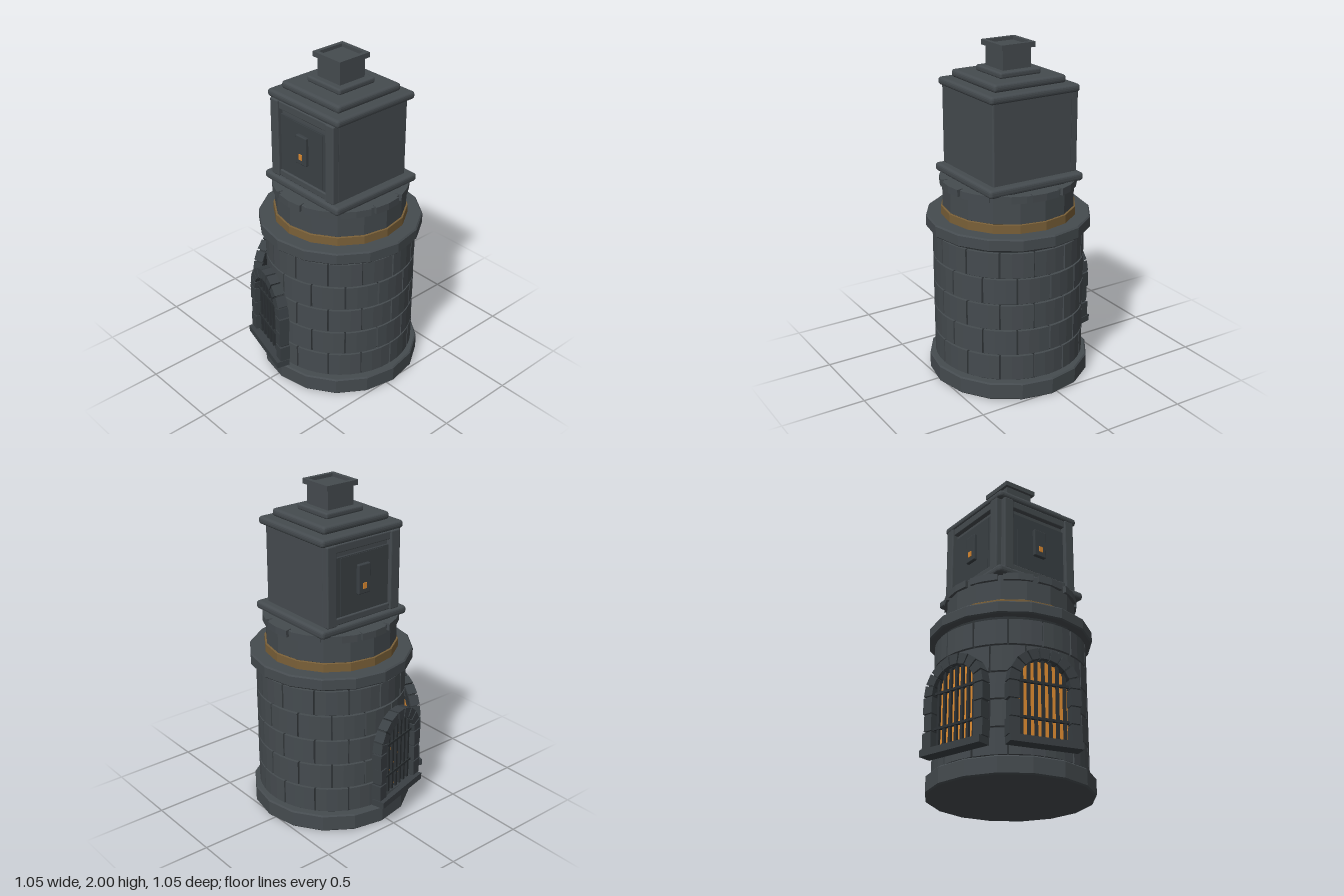
import * as THREE from 'three';
import { RoundedBoxGeometry } from 'three/addons/geometries/RoundedBoxGeometry.js';

const mat = (name, color, side = THREE.FrontSide) => {
  const m = new THREE.MeshStandardMaterial({ color, side, flatShading: true });
  m.name = name;
  return m;
};

export function createModel() {
  const stone = mat('slate stone', 0x454b4f);
  const darkStone = mat('dark stone', 0x3a4044);
  const mortar = mat('mortar', 0x2f3437);
  const iron = mat('iron', 0x2c3134);
  const brass = mat('brass', 0x7a6038);
  const glow = mat('ember glow', 0xdc8a30);

  const model = new THREE.Group();
  model.name = 'furnaceTower';
  const tower = new THREE.Group();
  tower.name = 'tower';
  tower.position.set(0.04, 0, -0.04);
  model.add(tower);

  const add = (parent, name, geo, material, x = 0, y = 0, z = 0) => {
    const m = new THREE.Mesh(geo, material);
    m.name = name;
    m.position.set(x, y, z);
    parent.add(m);
    return m;
  };
  const box = (parent, name, w, h, d, x, y, z, material, r = 0) =>
    add(parent, name, r ? new RoundedBoxGeometry(w, h, d, 2, r) : new THREE.BoxGeometry(w, h, d), material, x, y, z);

  // Sixteen-sided drum with chamfered rims
  const drum = (name, r, y0, y1, c, material) => {
    const pts = [[0, y0], [r - c, y0], [r, y0 + c], [r, y1 - c], [r - c, y1], [0, y1]]
      .map(([x, y]) => new THREE.Vector2(x, y));
    return add(tower, name, new THREE.LatheGeometry(pts, 16), material);
  };

  // Curved block between two radii, spanning angles a0..a1
  const arcBlock = (r0, r1, a0, a1, h, steps = 3) => {
    const pts = [];
    const p = (r, a) => pts.push(new THREE.Vector2(r * Math.sin(a), -r * Math.cos(a)));
    for (let i = 0; i <= steps; i++) p(r1, a0 + (a1 - a0) * i / steps);
    for (let i = steps; i >= 0; i--) p(r0, a0 + (a1 - a0) * i / steps);
    return new THREE.ExtrudeGeometry(new THREE.Shape(pts), { depth: h, bevelEnabled: false }).rotateX(-Math.PI / 2);
  };

  // Round tower body
  drum('base', 0.482, 0, 0.105, 0.008, stone);
  add(tower, 'mortarCore', new THREE.CylinderGeometry(0.428, 0.428, 0.84, 28), mortar, 0, 0.515, 0);
  drum('ledge', 0.485, 0.925, 1.0, 0.008, stone);
  drum('brassBand', 0.396, 0.995, 1.052, 0.002, brass);
  drum('collar', 0.386, 1.05, 1.214, 0.003, stone);

  // Staggered brick courses
  const perRow = 14, step = Math.PI * 2 / perRow, gap = 0.012;
  for (let row = 0; row < 5; row++) {
    for (let i = 0; i < perRow; i++) {
      const a = (i + (row % 2 ? 0 : 0.5)) * step;
      add(tower, 'brick', arcBlock(0.415, 0.446, a + gap, a + step - gap, 0.148), stone, 0, 0.118 + row * 0.159, 0);
    }
  }

  // Blocks around the collar rim
  for (let i = 0; i < 12; i++) {
    const a = i * Math.PI / 6;
    add(tower, 'rimBlock', arcBlock(0.36, 0.4, a - 0.22, a + 0.22, 0.042, 2), stone, 0, 1.177, 0);
  }

  // Arched grate, built facing +z and turned into place
  const archPath = (r, y0, yc) => {
    const s = new THREE.Shape();
    s.moveTo(-r, y0);
    s.lineTo(r, y0);
    s.lineTo(r, yc);
    s.absarc(0, yc, r, 0, Math.PI, false);
    s.closePath();
    return s;
  };
  const grate = (azimuth) => {
    const g = new THREE.Group();
    g.name = 'archedGrate';
    g.rotation.y = azimuth;
    tower.add(g);
    const spring = 0.5, bottom = 0.19, rIn = 0.15, rOut = 0.21;
    add(g, 'emberGlow', new THREE.ExtrudeGeometry(archPath(0.156, bottom, spring), { depth: 0.007, bevelEnabled: false, curveSegments: 10 }), glow, 0, 0, 0.446);
    const ring = archPath(0.198, bottom, spring);
    ring.holes.push(archPath(0.155, bottom + 0.003, spring));
    add(g, 'archBacking', new THREE.ExtrudeGeometry(ring, { depth: 0.05, bevelEnabled: false, curveSegments: 10 }), mortar, 0, 0, 0.445);
    box(g, 'sill', 0.42, 0.04, 0.08, 0, 0.173, 0.488, darkStone);
    // Wedge stones of the arch
    const n = 9;
    for (let i = 0; i < n; i++) {
      const a0 = Math.PI * i / n + 0.025, a1 = Math.PI * (i + 1) / n - 0.025;
      const pts = [[rIn, a0], [rOut, a0], [rOut, a1], [rIn, a1]]
        .map(([r, a]) => new THREE.Vector2(r * Math.cos(a), spring + r * Math.sin(a)));
      add(g, 'archStone', new THREE.ExtrudeGeometry(new THREE.Shape(pts), { depth: 0.062, bevelEnabled: false }), darkStone, 0, 0, 0.445);
    }
    // Jamb stones
    for (const s of [-1, 1]) {
      for (let i = 0; i < 3; i++) {
        const w = i % 2 ? 0.052 : 0.062;
        box(g, 'jambStone', w, 0.094, 0.062, s * (rIn + w / 2), 0.245 + i * 0.102, 0.476, darkStone);
      }
    }
    // Iron bars
    for (let i = -3; i <= 3; i++) {
      const x = i * 0.042;
      const top = spring + Math.sqrt(rIn * rIn - x * x) + 0.006;
      box(g, 'bar', 0.016, top - bottom, 0.016, x, (top + bottom) / 2, 0.472, iron);
    }
    for (const y of [0.31, 0.515]) box(g, 'crossBar', 0.304, 0.014, 0.018, 0, y, 0.476, iron);
  };
  grate(-Math.PI / 12);
  grate(-Math.PI * 5 / 12);

  // Square housing with stacked rounded slabs
  box(tower, 'housingSill', 0.625, 0.05, 0.625, 0, 1.236, 0, stone, 0.018);
  box(tower, 'housing', 0.525, 0.49, 0.525, 0, 1.495, 0, stone, 0.01);
  box(tower, 'eave', 0.585, 0.046, 0.585, 0, 1.752, 0, stone, 0.018);
  box(tower, 'roofStep', 0.472, 0.046, 0.472, 0, 1.8, 0, stone, 0.018);
  box(tower, 'chimneyFoot', 0.268, 0.036, 0.268, 0, 1.838, 0, stone, 0.012);
  box(tower, 'chimney', 0.184, 0.13, 0.184, 0, 1.915, 0, stone);
  for (const s of [-1, 1]) {
    box(tower, 'chimneyRim', 0.22, 0.03, 0.024, 0, 1.985, s * 0.098, stone);
    box(tower, 'chimneyRim', 0.024, 0.03, 0.172, s * 0.098, 1.985, 0, stone);
  }

  // Framed door panel with latch plate, on the front and on the -x side
  for (const turn of [0, -Math.PI / 2]) {
    const p = new THREE.Group();
    p.name = 'doorPanel';
    p.rotation.y = turn;
    tower.add(p);
    for (const s of [-1, 1]) box(p, 'framePost', 0.066, 0.475, 0.05, s * 0.229, 1.495, 0.273, stone, 0.008);
    box(p, 'topRail', 0.392, 0.048, 0.04, 0, 1.706, 0.27, stone, 0.006);
    box(p, 'bottomRail', 0.392, 0.04, 0.04, 0, 1.281, 0.27, stone, 0.006);
    box(p, 'door', 0.385, 0.35, 0.024, 0, 1.475, 0.266, darkStone);
    box(p, 'doorInset', 0.31, 0.34, 0.012, 0, 1.475, 0.275, darkStone);
    box(p, 'latchPlate', 0.085, 0.175, 0.026, 0, 1.497, 0.288, darkStone, 0.006);
    box(p, 'latchLight', 0.026, 0.034, 0.008, 0, 1.458, 0.302, glow);
  }

  return model;
}
